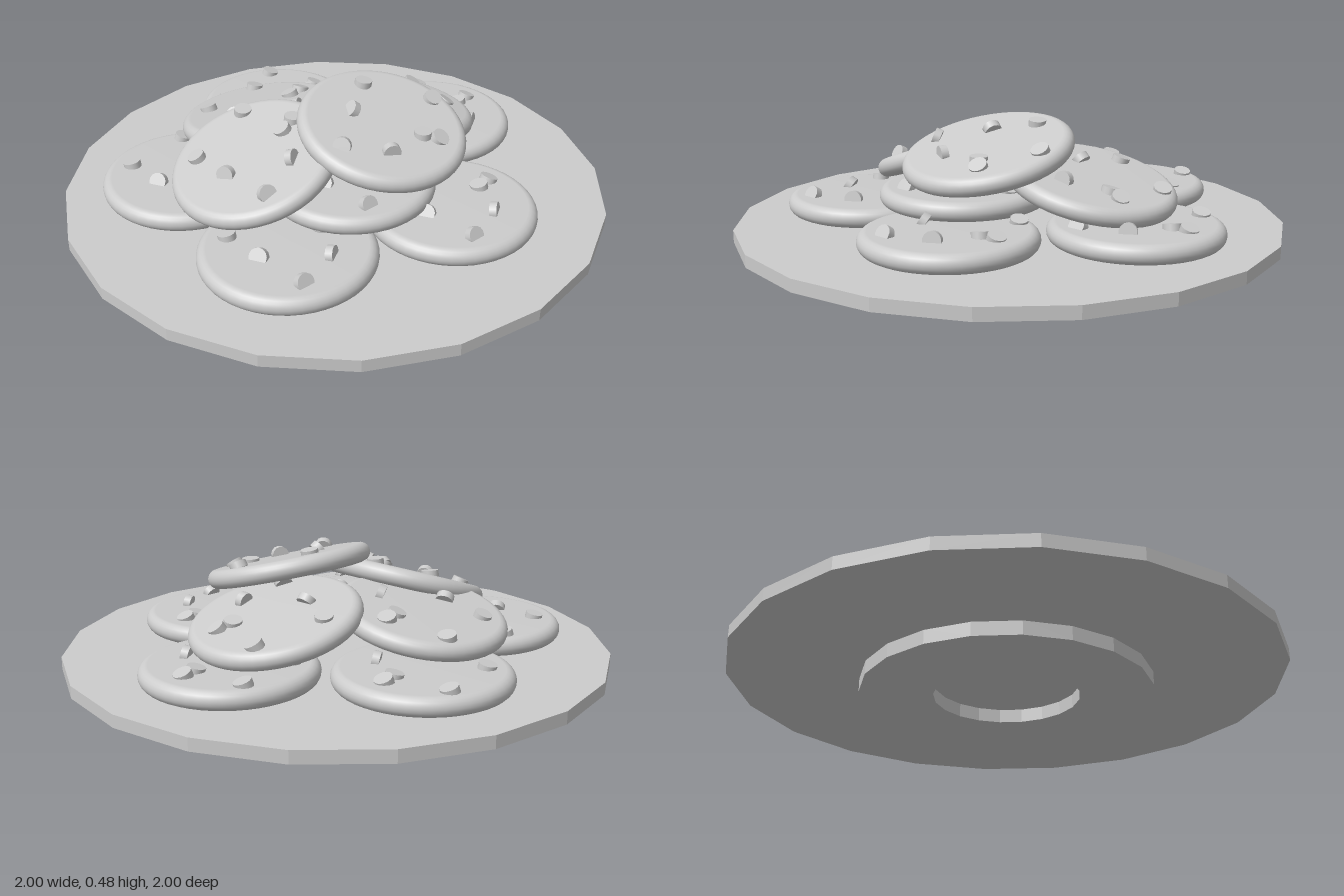
import * as THREE from 'three';

const deg = THREE.MathUtils.degToRad;
const mat = new THREE.MeshStandardMaterial({ color: 0xcccccc });
const flat = new THREE.MeshStandardMaterial({ color: 0xcccccc, flatShading: true });

function add(parent, name, geometry, material = mat) {
  const mesh = new THREE.Mesh(geometry, material);
  mesh.name = name;
  parent.add(mesh);
  return mesh;
}

// Biscuit body: flat disc with a fully rounded rim
const R = 0.307, H = 0.035;
const profile = [new THREE.Vector2(0, -H)];
for (let i = 0; i <= 10; i++) {
  const a = -Math.PI / 2 + (i / 10) * Math.PI;
  profile.push(new THREE.Vector2(R - H + Math.cos(a) * H, Math.sin(a) * H));
}
profile.push(new THREE.Vector2(0, H));
const biscuitGeometry = new THREE.LatheGeometry(profile, 48);

// Chips: short coins half sunk in the top: x, z, lean in degrees, heading of the lean
const chipGeometry = new THREE.CylinderGeometry(0.032, 0.032, 0.026, 14);
const chips = [
  [-0.13, -0.165, 12, 200], [0.125, -0.21, 18, 60], [-0.12, 0, 58, -60],
  [0.145, 0, 14, 230], [0.205, -0.01, 22, 80], [0.07, 0.143, 80, 32],
  [-0.093, 0.2, 60, 0],
];

function biscuit(name, x, y, z, tiltX = 0, tiltZ = 0, spin = 0) {
  const g = new THREE.Group();
  g.name = name;
  g.position.set(x, y, z);
  g.rotation.set(deg(tiltX), deg(spin), deg(tiltZ), 'XZY');
  add(g, 'biscuitBody', biscuitGeometry);
  for (const [cx, cz, lean, heading] of chips) {
    const chip = add(g, 'chip', chipGeometry);
    chip.position.set(cx, H + 0.004, cz);
    chip.rotation.set(deg(lean), deg(heading), 0, 'YXZ');
  }
  return g;
}

export function createModel() {
  const model = new THREE.Group();
  model.name = 'plateOfBiscuits';

  // Plate and its hollow foot ring
  add(model, 'plate', new THREE.CylinderGeometry(1, 1, 0.045, 20), flat).position.y = 0.0725;
  const ring = [[0.265, 0], [0.53, 0], [0.53, 0.052], [0.265, 0.052], [0.265, 0]];
  add(model, 'footRing', new THREE.LatheGeometry(ring.map(p => new THREE.Vector2(...p)), 20), flat);

  // Bottom layer lying on the plate
  for (const [x, z] of [[0.145, -0.535], [-0.45, -0.315], [0.55, -0.035], [-0.45, 0.285], [0.145, 0.46]])
    model.add(biscuit('bottomBiscuit', x, 0.132, z));

  // Pile leaning inwards, then the one on top
  model.add(
    biscuit('frontMiddleBiscuit', -0.07, 0.2, 0.165),
    biscuit('backMiddleBiscuit', -0.075, 0.255, -0.345, -12),
    biscuit('rightMiddleBiscuit', -0.33, 0.285, -0.048, 0, 19),
    biscuit('leftMiddleBiscuit', 0.348, 0.265, -0.045, 0, -14, -28),
    biscuit('topBiscuit', 0.065, 0.371, 0.182, 15, 0, -58),
  );
  return model;
}
